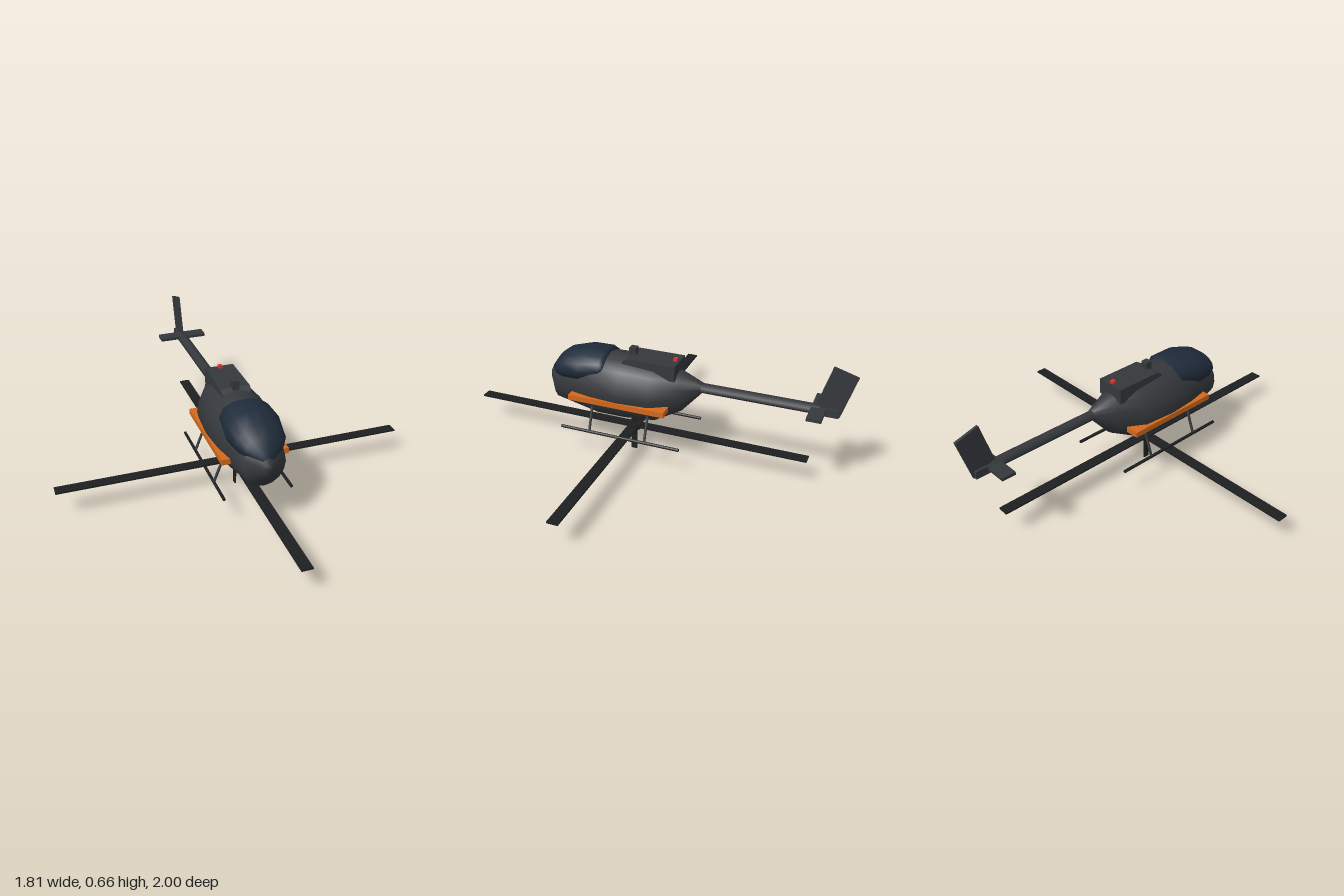
import * as THREE from 'three';

const mat = (color) => new THREE.MeshStandardMaterial({ color });
const body = mat(0x35383c);
const glass = mat(0x1f2b3a);
const dark = mat(0x1e1f20);
const orange = mat(0xd2691e);
const red = mat(0xdd3333);

// Closed skin over elliptical rings, listed front to back: [z, half width, bottom, top]
function loft(sections, sides) {
  const pos = [], index = [];
  for (const [z, w, y0, y1] of sections) {
    for (let j = 0; j < sides; j++) {
      const a = (j / sides) * Math.PI * 2;
      pos.push(Math.cos(a) * w, (y0 + y1) / 2 + Math.sin(a) * (y1 - y0) / 2, z);
    }
  }
  const last = sections.length - 1;
  for (let i = 0; i < last; i++) {
    for (let j = 0; j < sides; j++) {
      const k = (j + 1) % sides, a = i * sides, b = a + sides;
      index.push(a + j, b + j, a + k, a + k, b + j, b + k);
    }
  }
  for (let j = 1; j < sides - 1; j++) {
    index.push(0, j, j + 1, last * sides, last * sides + j + 1, last * sides + j);
  }
  const geo = new THREE.BufferGeometry();
  geo.setAttribute('position', new THREE.Float32BufferAttribute(pos, 3));
  geo.setIndex(index);
  geo.computeVertexNormals();
  return geo;
}

export function createModel() {
  const model = new THREE.Group();
  model.name = 'helicopter';

  const add = (name, geo, material, x = 0, y = 0, z = 0) => {
    const mesh = new THREE.Mesh(geo, material);
    mesh.name = name;
    mesh.position.set(x, y, z);
    model.add(mesh);
    return mesh;
  };
  const box = (name, material, size, at) => add(name, new THREE.BoxGeometry(...size), material, ...at);
  const rod = (name, material, from, to, r, sides = 8) => {
    const a = new THREE.Vector3(...from), b = new THREE.Vector3(...to);
    const dir = b.clone().sub(a), mid = a.clone().add(b).multiplyScalar(0.5);
    const mesh = add(name, new THREE.CylinderGeometry(r, r, dir.length(), sides), material, mid.x, mid.y, mid.z);
    mesh.quaternion.setFromUnitVectors(new THREE.Vector3(0, 1, 0), dir.normalize());
    return mesh;
  };

  // Cabin and windscreen
  add('fuselage', loft([
    [0.56, 0.022, 0.33, 0.39],
    [0.5, 0.105, 0.237, 0.465],
    [0.28, 0.153, 0.196, 0.54],
    [0.13, 0.166, 0.2, 0.542],
    [-0.035, 0.153, 0.215, 0.53],
    [-0.165, 0.078, 0.285, 0.495],
    [-0.265, 0.028, 0.4, 0.455],
  ], 16), body);
  add('canopy', loft([
    [0.545, 0.025, 0.38, 0.42],
    [0.495, 0.095, 0.37, 0.49],
    [0.45, 0.122, 0.365, 0.525],
    [0.35, 0.14, 0.36, 0.555],
    [0.24, 0.128, 0.4, 0.556],
    [0.22, 0.115, 0.42, 0.545],
  ], 14), glass);

  // Engine cover with a sloped front edge, mast stub and beacon
  const cover = new THREE.Shape([
    [-0.13, 0.48], [-0.13, 0.53], [-0.1, 0.55], [0.145, 0.55], [0.145, 0.47],
  ].map(([u, v]) => new THREE.Vector2(u, v)));
  const coverGeo = new THREE.ExtrudeGeometry(cover, { depth: 0.15, bevelEnabled: false });
  coverGeo.translate(0, 0, -0.075).rotateY(-Math.PI / 2).scale(1, 1, -1);
  // Mirroring turns the faces inside out, so swap two corners of each triangle
  const p = coverGeo.attributes.position;
  for (let i = 0; i < p.count; i += 3) {
    const a = new THREE.Vector3().fromBufferAttribute(p, i);
    const b = new THREE.Vector3().fromBufferAttribute(p, i + 1);
    p.setXYZ(i, b.x, b.y, b.z);
    p.setXYZ(i + 1, a.x, a.y, a.z);
  }
  coverGeo.computeVertexNormals();
  const [minZ, maxZ] = [-0.145, 0.13];
  coverGeo.computeBoundingBox();
  coverGeo.translate(0, 0, (minZ + maxZ - coverGeo.boundingBox.min.z - coverGeo.boundingBox.max.z) / 2);
  add('engineCover', coverGeo, body);
  box('mastStub', body, [0.036, 0.05, 0.036], [0, 0.562, 0.097]);
  box('beacon', red, [0.02, 0.02, 0.02], [0, 0.555, -0.125]);

  // Tail
  const boom = new THREE.CylinderGeometry(0.029, 0.029, 0.61, 8);
  boom.rotateY(Math.PI / 8).rotateX(Math.PI / 2).scale(1, 0.84, 1);
  add('tailBoom', boom, body, 0, 0.428, -0.535);
  box('tailBlock', body, [0.04, 0.038, 0.13], [0, 0.425, -0.865]);
  box('stabilizer', body, [0.26, 0.016, 0.07], [0, 0.435, -0.835]);
  box('tailFin', body, [0.014, 0.225, 0.122], [0, 0.53, -0.907]).rotation.x = -0.29;

  // Side sponsons and landing gear
  for (const s of [1, -1]) {
    box('sponson', orange, [0.07, 0.028, 0.515], [s * 0.132, 0.328, 0.133]);
    rod('skid', dark, [s * 0.17, 0.153, 0.435], [s * 0.17, 0.153, -0.208], 0.008);
    for (const z of [0.278, -0.024]) {
      rod('skidStrut', body, [s * 0.12, 0.28, z], [s * 0.168, 0.155, z], 0.007);
    }
  }

  // Main rotor: four blades lying level under the cabin
  const rotorZ = 0.095;
  box('mainBladePair', dark, [1.81, 0.008, 0.055], [0, 0.145, rotorZ]);
  box('mainBladePair', dark, [0.055, 0.008, 1.81], [0, 0.145, rotorZ]);
  add('mainHub', new THREE.CylinderGeometry(0.04, 0.04, 0.025, 12), dark, 0, 0.143, rotorZ);

  // Small rotor: two upright crossing blade pairs at the same hub
  box('smallBladePair', dark, [0.008, 0.28, 0.03], [0, 0.14, 0.1]);
  box('smallBladePair', dark, [0.008, 0.022, 0.28], [0, 0.14, 0.1]);

  return model;
}
